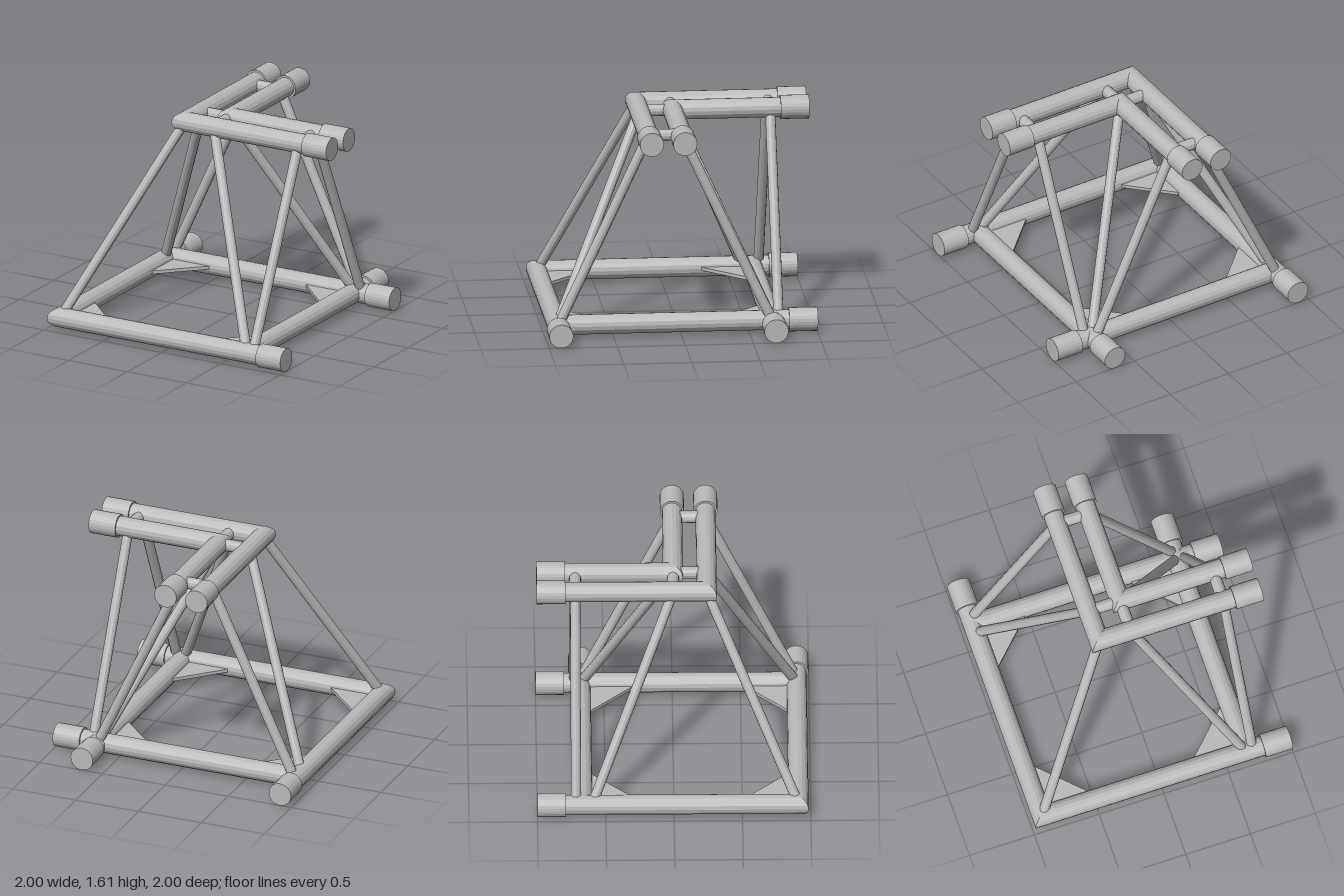
import * as THREE from 'three';

const TUBE = 0.074, COLLAR = 0.088, STRUT = 0.037, SPACER = 0.045;
const LOW = 0.088, HIGH = 1.52; // centre heights of the base and top tubes

export function createModel() {
  const model = new THREE.Group();
  model.name = 'trussFrame';
  const steel = new THREE.MeshStandardMaterial({ color: 0xb9b9b9, flatShading: true });
  steel.name = 'greySteel';

  // Round bar between two points
  function bar(name, a, b, radius, sides = 16) {
    const from = new THREE.Vector3(...a), to = new THREE.Vector3(...b);
    const dir = to.clone().sub(from);
    const geo = new THREE.CylinderGeometry(radius, radius, dir.length(), sides);
    geo.applyQuaternion(new THREE.Quaternion().setFromUnitVectors(new THREE.Vector3(0, 1, 0), dir.normalize()));
    const mid = from.add(to).multiplyScalar(0.5);
    geo.translate(mid.x, mid.y, mid.z);
    const mesh = new THREE.Mesh(geo, steel);
    mesh.name = name;
    model.add(mesh);
    return mesh;
  }

  // Cut the outer-corner end of a tube along the 45 degree joint
  function mitre(mesh, cx, cz, alongX) {
    const p = mesh.geometry.attributes.position;
    for (let i = 0; i < p.count; i++) {
      const dx = p.getX(i) - cx, dz = p.getZ(i) - cz;
      if (alongX && dx < 0.1) p.setX(i, cx - dz);
      if (!alongX && dz > -0.1) p.setZ(i, cz - dx);
    }
    mesh.geometry.computeVertexNormals();
  }

  // Tubes running to the right and to the back, each ending in a collar
  function corner(name, x, y, z, mitred) {
    const tubeX = bar(name + 'SideTube', [x, y, z], [0.9, y, z], TUBE);
    bar(name + 'SideCollar', [0.79, y, z], [1, y, z], COLLAR, 24);
    const tubeZ = bar(name + 'BackTube', [x, y, z], [x, y, -0.9], TUBE);
    bar(name + 'BackCollar', [x, y, -0.79], [x, y, -1], COLLAR, 24);
    if (mitred) {
      mitre(tubeX, x, z, true);
      mitre(tubeZ, x, z, false);
    }
  }
  corner('outerBase', -0.91, LOW, 0.91, true);
  corner('outerTop', -0.245, HIGH, 0.245, true);
  corner('innerTop', 0, HIGH, 0, true);

  // Base tubes closing the square, with collars past the crossing
  bar('baseRearTube', [-0.91, LOW, -0.67], [0.9, LOW, -0.67], TUBE);
  bar('baseRearCollar', [0.79, LOW, -0.67], [1, LOW, -0.67], COLLAR, 24);
  bar('baseRightTube', [0.665, LOW, 0.91], [0.665, LOW, -0.9], TUBE);
  bar('baseRightCollar', [0.665, LOW, -0.79], [0.665, LOW, -1], COLLAR, 24);

  // Sloping struts: base x, z then top x, z
  const struts = [
    [-0.91, 0.91, -0.245, 0.245],
    [0.665, 0.91, 0, 0.245],
    [-0.91, -0.6, -0.245, 0],
    [0.665, -0.67, 0, 0],
    [0.717, 0.91, 0.717, 0.245],
    [0.717, -0.67, 0.717, 0],
    [-0.91, -0.717, -0.245, -0.717],
    [0.665, -0.717, 0, -0.717],
  ];
  for (const [x0, z0, x1, z1] of struts) bar('strut', [x0, LOW, z0], [x1, HIGH, z1], STRUT, 12);

  // Short spacers joining the two top corners
  for (const t of [0, 0.717]) {
    bar('sideSpacer', [t, HIGH, 0], [t, HIGH, 0.245], SPACER, 12);
    bar('backSpacer', [-0.245, HIGH, -t], [0, HIGH, -t], SPACER, 12);
  }

  // Triangular gusset plates inside the base corners
  for (const [x, z, sx, sz] of [[-0.91, 0.91, 1, -1], [0.665, 0.91, -1, -1], [-0.91, -0.67, 1, 1], [0.665, -0.67, -1, 1]]) {
    const shape = new THREE.Shape([[0.05, 0.05], [0.4, 0.05], [0.05, 0.4]]
      .map(([u, v]) => new THREE.Vector2(x + sx * u, -(z + sz * v))));
    const geo = new THREE.ExtrudeGeometry(shape, { depth: 0.025, bevelEnabled: false });
    geo.rotateX(-Math.PI / 2).translate(0, LOW - 0.0125, 0);
    const plate = new THREE.Mesh(geo, steel);
    plate.name = 'gusset';
    model.add(plate);
  }
  return model;
}
